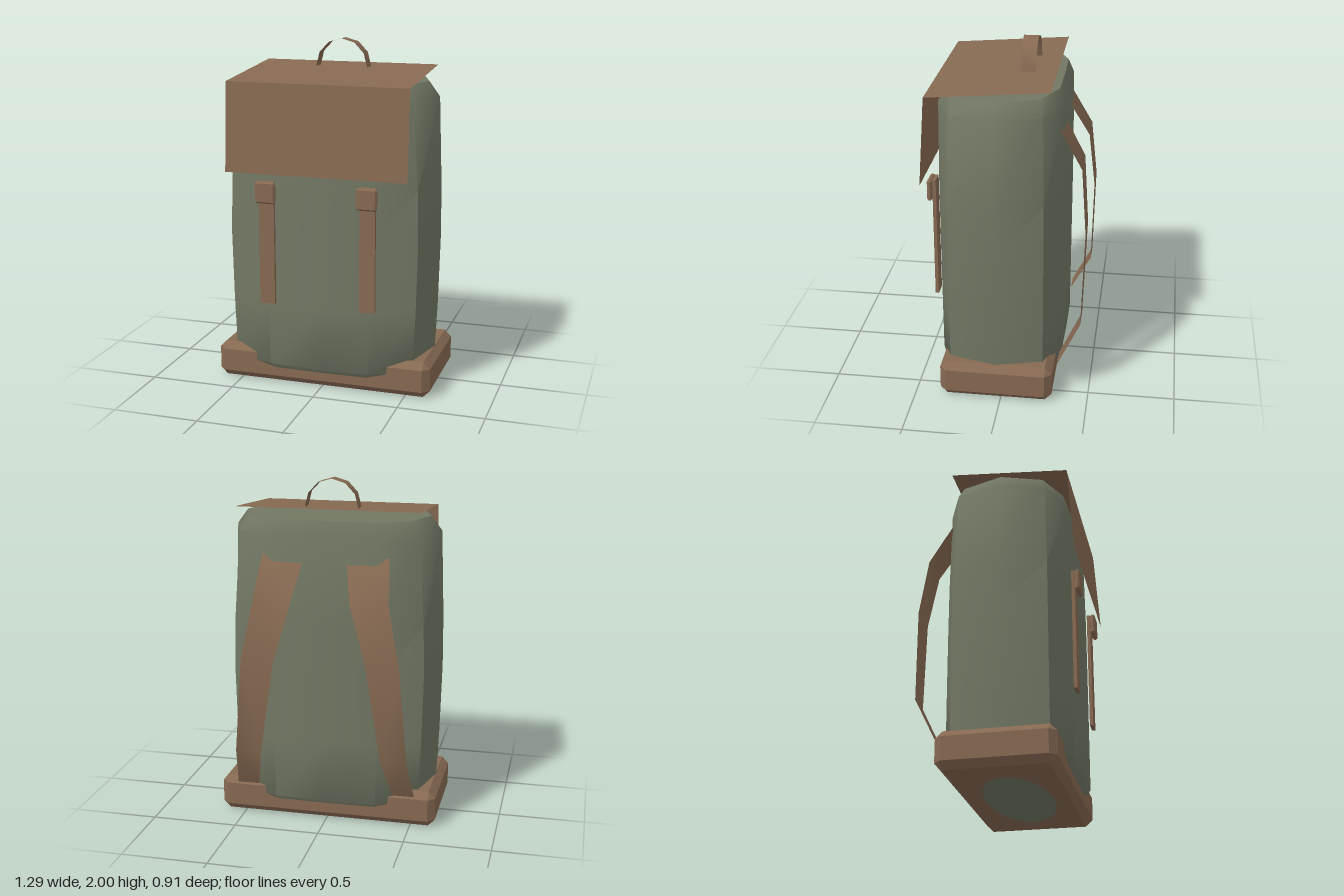
import * as THREE from 'three';
import { toCreasedNormals } from 'three/addons/utils/BufferGeometryUtils.js';
import { ConvexGeometry } from 'three/addons/geometries/ConvexGeometry.js';

const canvas = new THREE.MeshStandardMaterial({ color: 0x727864 });
canvas.name = 'greenCanvas';
const leather = new THREE.MeshStandardMaterial({ color: 0x876a52, side: THREE.DoubleSide });
leather.name = 'brownLeather';

function part(name, geometry, material, x = 0, y = 0, z = 0) {
  const mesh = new THREE.Mesh(geometry, material);
  mesh.name = name;
  mesh.position.set(x, y, z);
  return mesh;
}

function indexed(positions, indices, crease) {
  const g = new THREE.BufferGeometry();
  g.setAttribute('position', new THREE.Float32BufferAttribute(positions, 3));
  g.setIndex(indices);
  return toCreasedNormals(g, crease);
}

// Box with all edges cut at 45 degrees
function chamferBox(w, h, d, c) {
  const points = [];
  for (const x of [-1, 1]) for (const y of [-1, 1]) for (const z of [-1, 1]) {
    for (let k = 0; k < 3; k++) {
      points.push(new THREE.Vector3(
        x * (w / 2 - (k === 0 ? 0 : c)),
        y * (h / 2 - (k === 1 ? 0 : c)),
        z * (d / 2 - (k === 2 ? 0 : c))));
    }
  }
  return new ConvexGeometry(points);
}

// Thin sheet through pairs of edge points
function ribbon(pairs, crease = 0.6) {
  const indices = [];
  for (let i = 0; i < pairs.length - 1; i++) {
    const a = i * 2;
    indices.push(a, a + 2, a + 1, a + 1, a + 2, a + 3);
  }
  return indexed(pairs.flat(2), indices, crease);
}

// Bag body: a rounded polygon section lofted upwards
function bodyGeometry() {
  const quarter = [[0.63, 0], [0.56, 0.27], [0.31, 0.355], [0, 0.358]];
  const half = [...quarter, ...quarter.slice(0, 3).reverse().map(([x, z]) => [-x, z])];
  const section = [...half, ...half.slice(1, -1).reverse().map(([x, z]) => [x, -z])];
  const n = section.length;
  // height, width scale, depth scale, corner pull
  const rows = [
    [0.06, 0.8, 0.8, 1], [0.13, 0.96, 1, 1], [0.5, 0.985, 1, 1], [0.9, 1, 1, 1],
    [1.2, 0.995, 1, 0.99], [1.7, 0.965, 0.985, 0.96], [1.785, 0.865, 0.9, 0.96],
  ];
  const positions = [], indices = [];
  for (const [y, sx, sz, pull] of rows) {
    for (const [x, z] of section) {
      const k = Math.abs(x) === 0.56 ? pull : 1;
      positions.push(x * sx * k, y, z * sz * k + 0.035);
    }
  }
  for (let r = 0; r < rows.length - 1; r++) {
    for (let i = 0; i < n; i++) {
      const j = (i + 1) % n, a = r * n + i, c = r * n + j;
      indices.push(a, a + n, c, c, a + n, c + n);
    }
  }
  // Close both ends
  const top = (rows.length - 1) * n, low = positions.length / 3;
  positions.push(0, 0.05, 0.035, 0, 1.787, 0.035);
  for (let i = 0; i < n; i++) {
    const j = (i + 1) % n;
    indices.push(low, i, j, low + 1, top + j, top + i);
  }
  return indexed(positions, indices, 0.9);
}

export function createModel() {
  const model = new THREE.Group();
  model.name = 'backpack';

  model.add(part('body', bodyGeometry(), canvas));
  model.add(part('base', chamferBox(1.29, 0.213, 0.65, 0.04), leather, 0, 0.1085, 0.03));

  // Oval patch under the base
  const patch = part('bottomPatch', new THREE.CircleGeometry(1, 32), canvas, 0, 0, 0.035);
  patch.rotation.x = Math.PI / 2;
  patch.scale.set(0.43, 0.19, 1);
  model.add(patch);

  // Lid sheet folded over the front
  const lid = [[1.845, -0.26], [1.79, 0.42], [1.28, 0.455]];
  model.add(part('flap', ribbon(lid.map(([y, z]) => [[-0.53, y, z], [0.53, y, z]])), leather));

  // Carry handle
  const arch = [];
  for (let i = 0; i <= 6; i++) {
    const a = Math.PI * (1 - i / 6);
    const x = 0.155 * Math.cos(a), y = 1.835 + 0.165 * Math.sin(a);
    arch.push([[x, y, -0.14], [x, y, -0.053]]);
  }
  model.add(part('handle', ribbon(arch, 1), leather));

  // Shoulder strap rows: height, depth, inner x, outer x
  const rows = [
    [1.59, -0.295, 0.12, 0.365], [1.36, -0.425, 0.165, 0.385], [1.0, -0.457, 0.265, 0.455],
    [0.45, -0.443, 0.35, 0.5], [0.2, -0.318, 0.4, 0.53],
  ];
  for (const side of [-1, 1]) {
    const label = side > 0 ? 'left' : 'right';
    const pairs = rows.map(([y, z, a, b]) => [[side * a, y, z], [side * b, y, z]]);
    model.add(part(label + 'ShoulderStrap', ribbon(pairs), leather));
    model.add(part(label + 'FrontStrap', new THREE.BoxGeometry(0.09, 0.72, 0.02), leather,
      side * 0.297, 0.873, 0.414));
    model.add(part(label + 'Buckle', chamferBox(0.12, 0.125, 0.028, 0.009), leather,
      side * 0.297, 1.172, 0.44));
  }
  return model;
}
